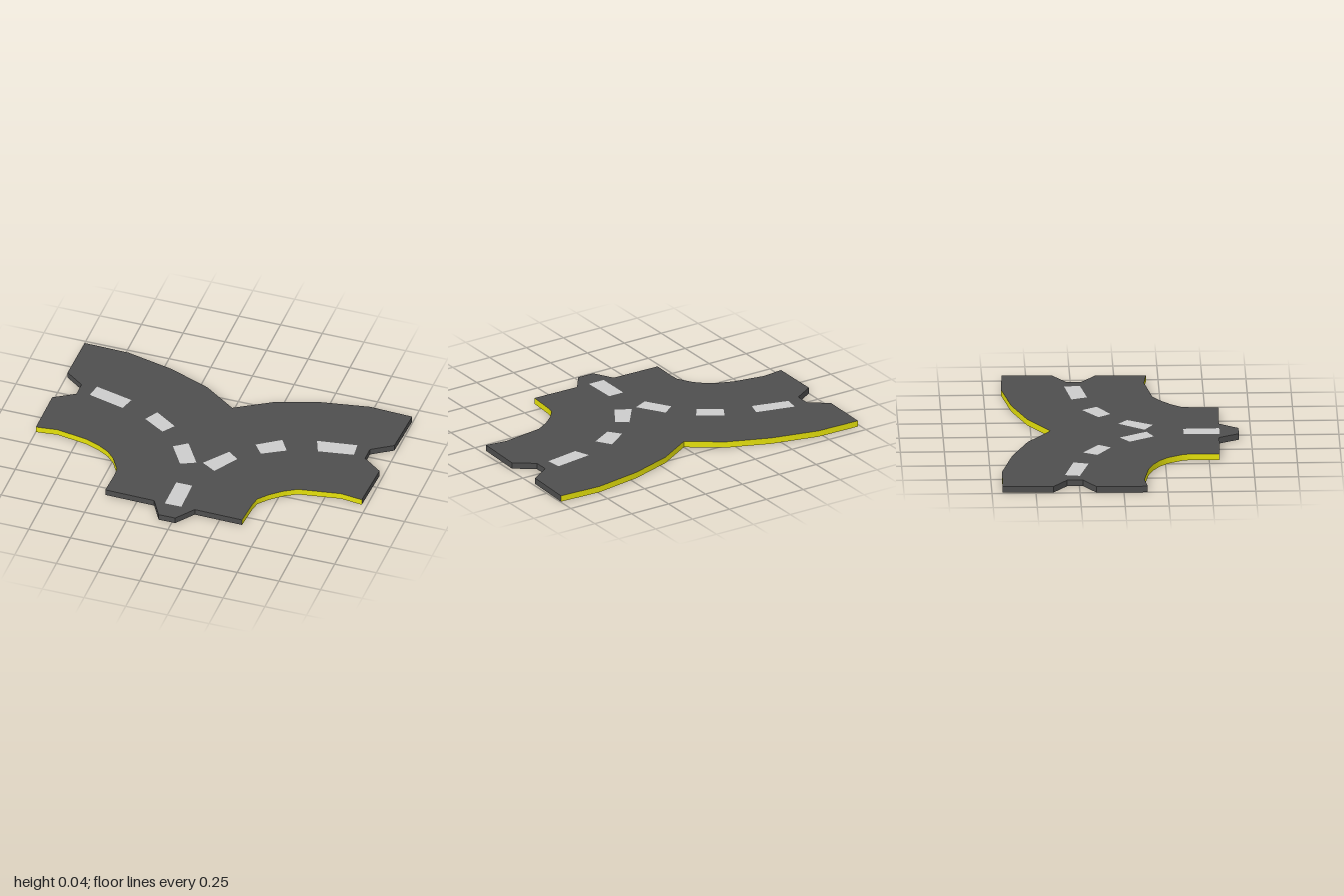
import * as THREE from 'three';

const H = 0.036; // slab thickness

// Outline as [x, z] runs, clockwise from above; each run ends where the next begins
const backLeftCurb = [[-0.985, -0.69], [-0.72, -0.685], [-0.44, -0.62], [-0.195, -0.525], [0, -0.39]];
const backRightCurb = [[0, -0.39], [0.205, -0.515], [0.455, -0.6], [0.74, -0.65], [0.995, -0.64]];
const rightEnd = [[0.995, -0.64], [0.985, -0.355], [0.865, -0.275], [0.865, -0.19], [0.98, -0.105], [0.97, 0.18]];
const frontRightCurb = [[0.97, 0.18], [0.84, 0.165], [0.595, 0.205], [0.52, 0.25], [0.455, 0.305],
  [0.405, 0.365], [0.395, 0.42], [0.385, 0.575]];
const frontEnd = [[0.385, 0.575], [0.1, 0.57], [0.02, 0.68], [-0.08, 0.68], [-0.145, 0.565], [-0.44, 0.56]];
const frontLeftCurb = [[-0.44, 0.56], [-0.435, 0.41], [-0.44, 0.355], [-0.49, 0.27], [-0.54, 0.22],
  [-0.61, 0.18], [-0.69, 0.15], [-0.875, 0.12], [-1, 0.135]];
const leftEnd = [[-1, 0.135], [-1, -0.155], [-0.88, -0.23], [-0.88, -0.32], [-0.99, -0.4], [-0.985, -0.69]];

// Lane dashes, four corners each
const dashes = [
  [[-0.79, -0.33], [-0.565, -0.275], [-0.59, -0.19], [-0.805, -0.245]],
  [[-0.39, -0.215], [-0.255, -0.125], [-0.305, -0.055], [-0.435, -0.135]],
  [[-0.13, 0], [-0.03, 0.155], [-0.115, 0.195], [-0.205, 0.055]],
  [[0.115, 0], [0.18, 0.05], [0.09, 0.195], [0.005, 0.145]],
  [[0.365, -0.2], [0.42, -0.115], [0.29, -0.04], [0.235, -0.11]],
  [[0.555, -0.255], [0.785, -0.29], [0.795, -0.2], [0.59, -0.165]],
  [[-0.08, 0.365], [0.015, 0.365], [0.02, 0.57], [-0.08, 0.57]],
];

// Flat face over an outline with holes, facing up or down
function face(points, holes, up) {
  const s = up ? -1 : 1;
  const flat = (list) => list.map(([x, z]) => new THREE.Vector2(x, s * z));
  const shape = new THREE.Shape(flat(points));
  shape.holes = holes.map((h) => new THREE.Path(flat(h)));
  return new THREE.ShapeGeometry(shape).rotateX(s * Math.PI / 2).translate(0, up ? H : 0, 0);
}

// Upright strip along a run; smooth along curves, flat at the road ends
function wall(run, smooth) {
  const pos = [], index = [];
  run.forEach(([x, z], i) => {
    pos.push(x, 0, z, x, H, z);
    const a = i * 2;
    if (i < run.length - 1) index.push(a, a + 1, a + 3, a, a + 3, a + 2);
  });
  let g = new THREE.BufferGeometry();
  g.setAttribute('position', new THREE.Float32BufferAttribute(pos, 3));
  g.setIndex(index);
  if (!smooth) g = g.toNonIndexed();
  g.computeVertexNormals();
  return g;
}

export function createModel() {
  const model = new THREE.Group();
  model.name = 'roadJunction';
  const asphalt = new THREE.MeshStandardMaterial({ color: 0x4e4e4e });
  const yellow = new THREE.MeshStandardMaterial({ color: 0xe6e20c });
  const paint = new THREE.MeshStandardMaterial({ color: 0xcccccc });
  const add = (name, geometry, material) => {
    const mesh = new THREE.Mesh(geometry, material);
    mesh.name = name;
    model.add(mesh);
  };

  // Road surface and underside, with openings for the dashes
  const runs = { backLeftCurb, backRightCurb, rightEnd, frontRightCurb, frontEnd, frontLeftCurb, leftEnd };
  const outline = Object.values(runs).flatMap((run) => run.slice(0, -1));
  add('roadSurface', face(outline, dashes, true), asphalt);
  add('roadUnderside', face(outline, dashes, false), asphalt);

  // Yellow curved curbs and dark connector ends
  for (const [name, run] of Object.entries(runs)) {
    const curb = name.endsWith('Curb');
    add(name, wall(run, curb), curb ? yellow : asphalt);
  }

  // Inlaid lane dashes, seen on both faces
  dashes.forEach((d, i) => {
    add(`laneDashTop${i + 1}`, face(d, [], true), paint);
    add(`laneDashBottom${i + 1}`, face(d, [], false), paint);
  });
  return model;
}
